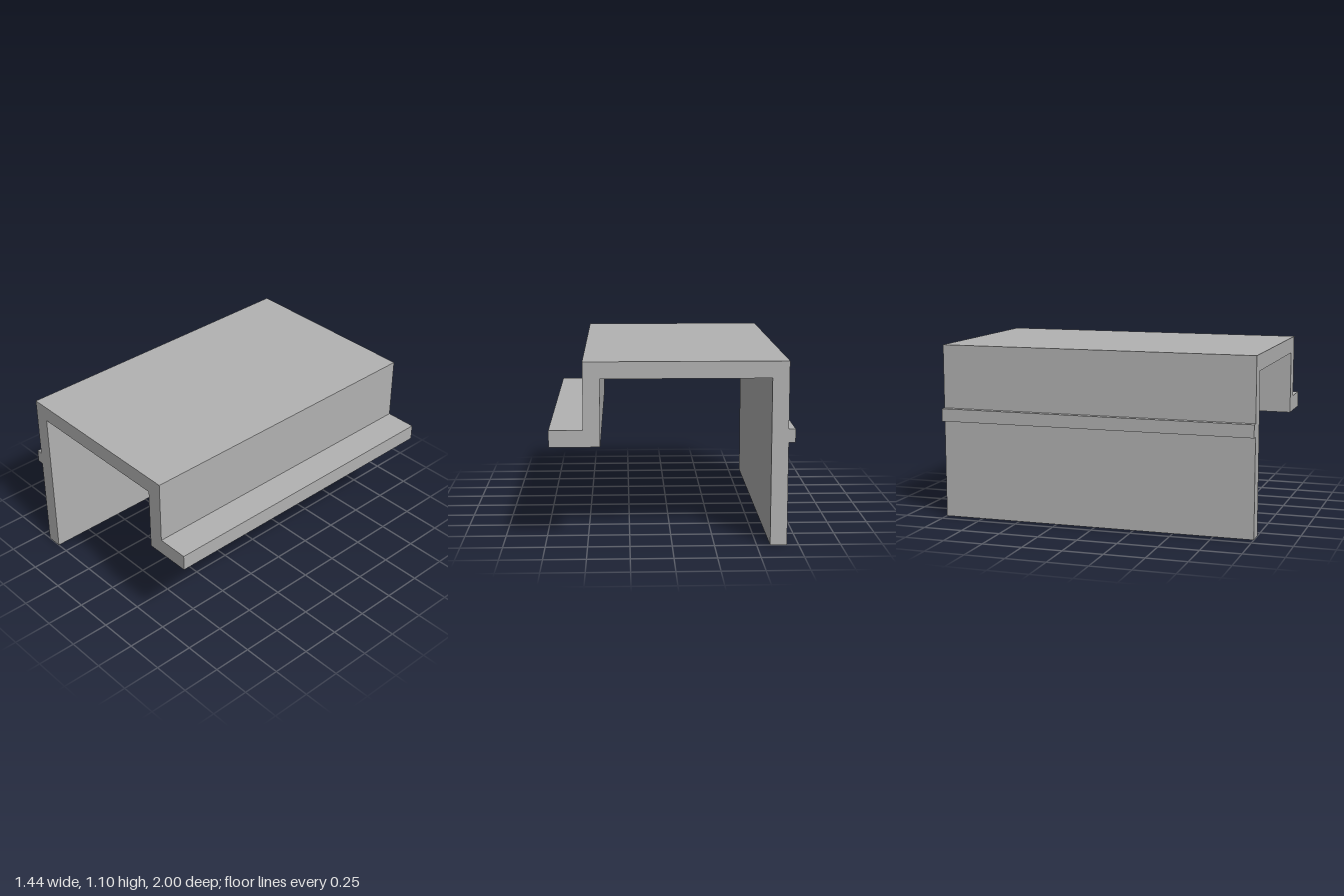
import * as THREE from 'three';

// One constant cross-section (x, y), counter-clockwise, swept along z
const LENGTH = 2;
const PROFILE = [
  [-0.68, 0], [-0.58, 0],                 // foot of the long wall
  [-0.58, 1], [0.42, 1],                  // underside of the top
  [0.42, 0.6], [0.72, 0.6],               // short wall and flange underside
  [0.72, 0.7], [0.52, 0.7],               // flange top
  [0.52, 1.1], [-0.68, 1.1],              // top plate
  [-0.68, 0.7], [-0.72, 0.7],             // outer rib
  [-0.72, 0.62], [-0.68, 0.62],
];

export function createModel() {
  const grey = new THREE.MeshStandardMaterial({ color: 0xb2b2b2 });
  grey.name = 'light grey';

  const shape = new THREE.Shape(PROFILE.map(([x, y]) => new THREE.Vector2(x, y)));
  const geometry = new THREE.ExtrudeGeometry(shape, { depth: LENGTH, bevelEnabled: false });
  geometry.translate(0, 0, -LENGTH / 2);

  const channel = new THREE.Mesh(geometry, grey);
  channel.name = 'channelProfile';

  const model = new THREE.Group();
  model.name = 'flangedChannel';
  model.add(channel);
  return model;
}
